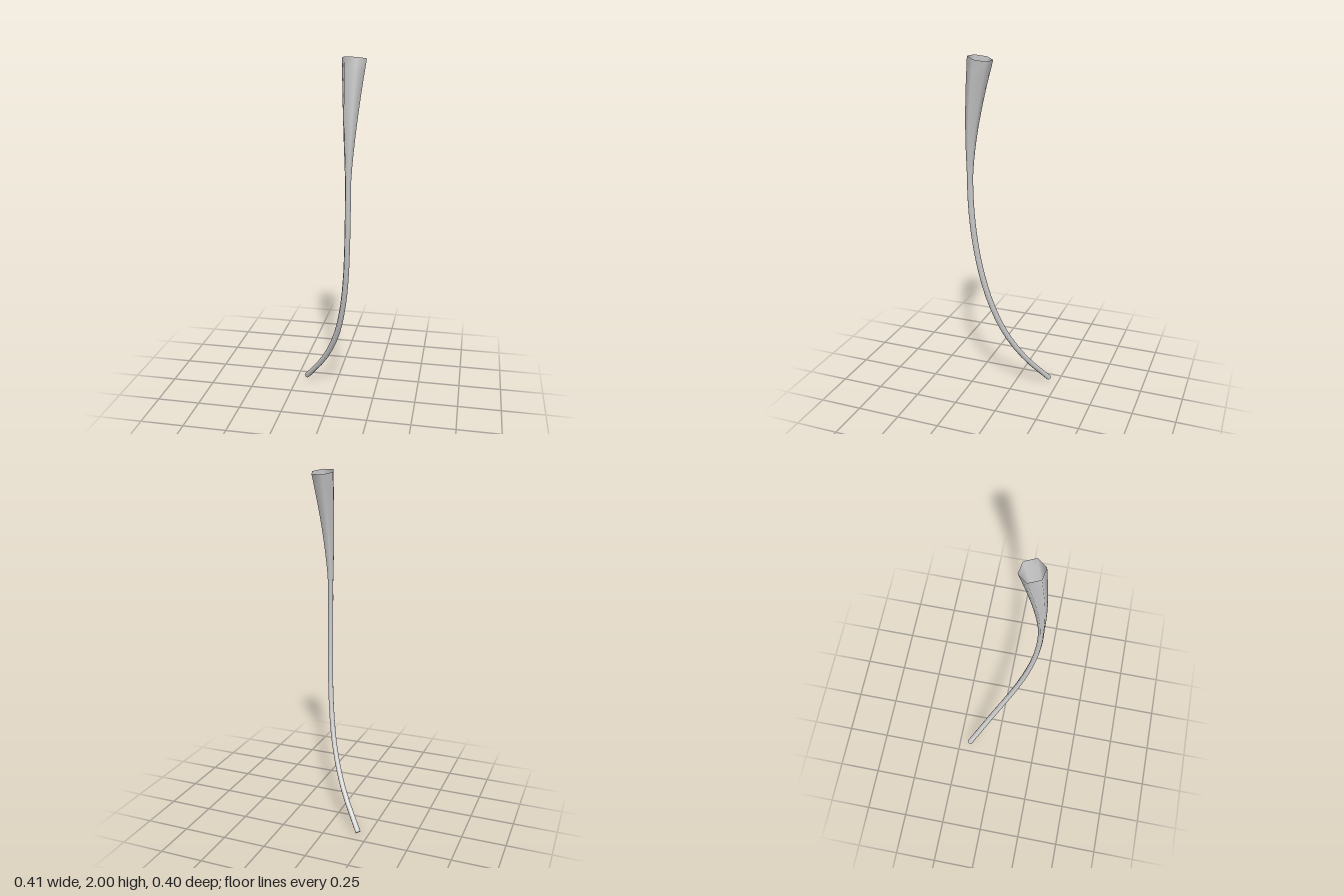
import * as THREE from 'three';

const SIDES = 6, RINGS = 28;

// Sweeps a six-sided ring along a curve, with a radius that varies along it
function sweptTube(curve, radiusAt, phase) {
  const pos = [], index = [];
  for (let i = 0; i <= RINGS; i++) {
    const c = curve.getPoint(i / RINGS), t = curve.getTangent(i / RINGS);
    const u = new THREE.Vector3(1, 0, 0).addScaledVector(t, -t.x).normalize();
    const v = new THREE.Vector3().crossVectors(u, t);
    const r = radiusAt(c.y);
    for (let j = 0; j < SIDES; j++) {
      const a = phase + (j / SIDES) * Math.PI * 2;
      const p = c.clone().addScaledVector(u, r * Math.cos(a)).addScaledVector(v, r * Math.sin(a));
      pos.push(p.x, p.y, p.z);
      if (i === RINGS) continue;
      const k = (j + 1) % SIDES, b = i * SIDES, n = b + SIDES;
      index.push(b + j, n + j, b + k, b + k, n + j, n + k);
    }
  }
  const geo = new THREE.BufferGeometry();
  geo.setAttribute('position', new THREE.Float32BufferAttribute(pos, 3));
  geo.setIndex(index);
  geo.computeVertexNormals();
  return geo;
}

export function createModel() {
  const group = new THREE.Group();
  group.name = 'curvedStem';

  // Centre line from the foot to the mouth
  const path = new THREE.CatmullRomCurve3([
    [-0.192, 0.011, -0.186], [-0.06, 0.2, -0.075], [0.03, 0.4, 0.02], [0.079, 0.6, 0.088],
    [0.105, 0.8, 0.135], [0.117, 1.0, 0.166], [0.122, 1.2, 0.182], [0.123, 1.4, 0.183],
    [0.126, 1.6, 0.17], [0.131, 1.8, 0.144], [0.138, 1.99, 0.11],
  ].map((p) => new THREE.Vector3(...p)));

  // Thin stem that flares into an open mouth
  const radiusAt = (y) => {
    const f = Math.max(0, (y - 1.36) / 0.63);
    return 0.0165 + 0.0505 * Math.pow(f, 1.2);
  };

  const material = new THREE.MeshStandardMaterial({ color: 0xcccccc, side: THREE.DoubleSide });
  const stem = new THREE.Mesh(sweptTube(path, radiusAt, Math.PI / 18), material);
  stem.name = 'flaredStem';
  group.add(stem);
  return group;
}
